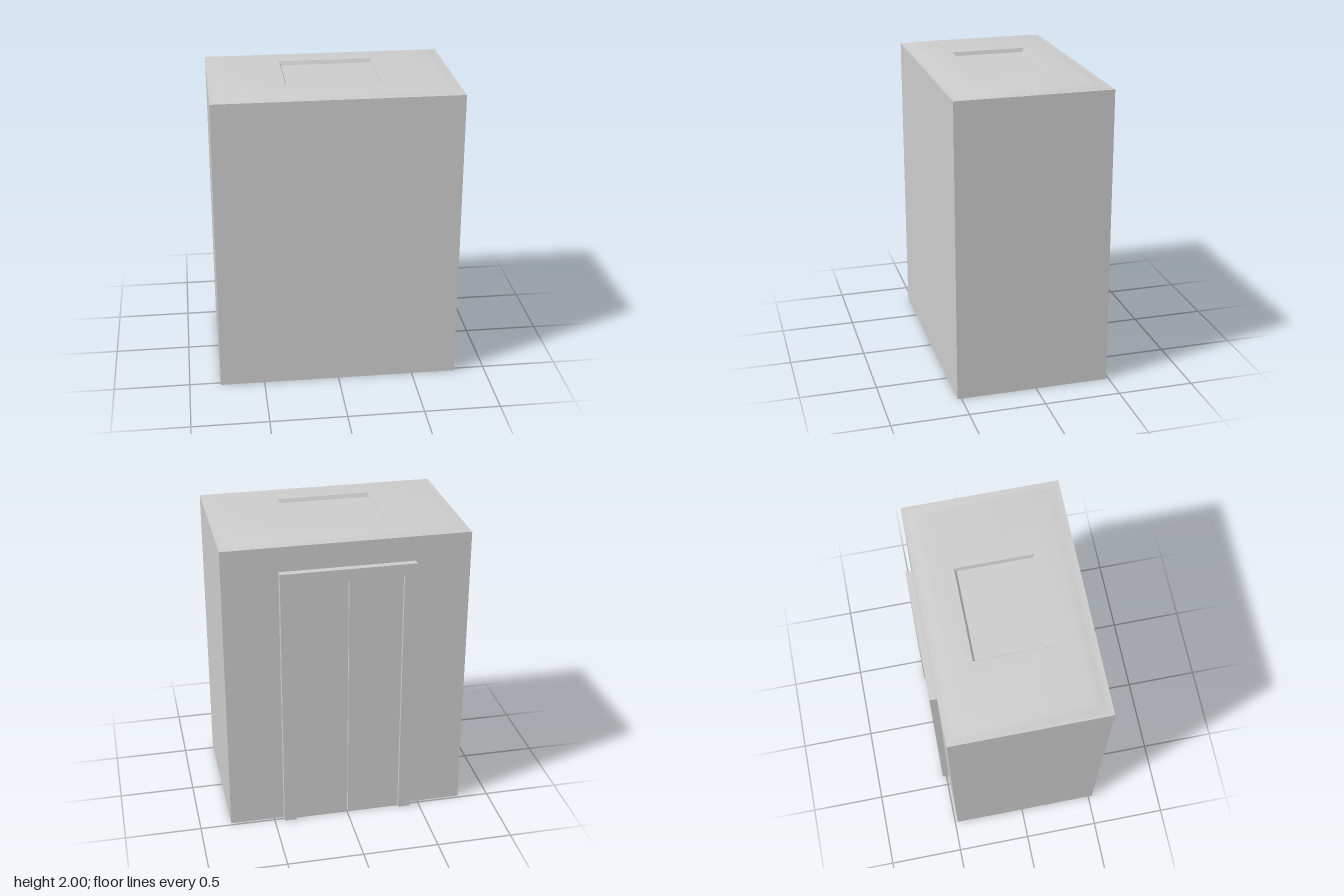
import * as THREE from 'three';

const material = new THREE.MeshStandardMaterial({ color: 0xcccccc });

function addMesh(group, name, geometry) {
  const mesh = new THREE.Mesh(geometry, material);
  mesh.name = name;
  group.add(mesh);
  return mesh;
}

// Rectangular rings [halfWidth, back z, front z, y] joined in order;
// shared corners give soft shading, flat ones give sharp edges.
function rectLoft(rings, { smooth = false, startCap = false, endCap = false } = {}) {
  const positions = [];
  const index = [];
  for (const [w, back, front, y] of rings) {
    positions.push(-w, y, front, w, y, front, w, y, back, -w, y, back);
  }
  for (let r = 0; r < rings.length - 1; r++) {
    for (let i = 0; i < 4; i++) {
      const a = r * 4 + i, b = r * 4 + (i + 1) % 4;
      index.push(a, b, b + 4, a, b + 4, a + 4);
    }
  }
  const last = (rings.length - 1) * 4;
  if (startCap) index.push(0, 2, 1, 0, 3, 2);
  if (endCap) index.push(last, last + 1, last + 2, last, last + 2, last + 3);
  let geometry = new THREE.BufferGeometry();
  geometry.setAttribute('position', new THREE.Float32BufferAttribute(positions, 3));
  geometry.setIndex(index);
  if (!smooth) geometry = geometry.toNonIndexed();
  geometry.computeVertexNormals();
  return geometry;
}

export function createModel() {
  const group = new THREE.Group();
  group.name = 'elevatorCabin';

  const halfWidth = 0.793, back = -0.482, front = 0.527, wallTop = 1.973;
  const frameBack = -0.527;

  // Cabin walls and floor
  addMesh(group, 'cabinWalls', rectLoft([
    [halfWidth, back, front, 0],
    [halfWidth, back, front, wallTop],
  ], { startCap: true }));

  // Softly shaded roof: rim, bevel and raised top around the hatch opening
  addMesh(group, 'roof', rectLoft([
    [halfWidth, back, front, wallTop],
    [0.74, -0.427, 0.473, wallTop],
    [0.69, -0.375, 0.42, 2],
    [0.308, -0.232, 0.272, 2],
  ], { smooth: true }));

  // Sunken ceiling hatch
  addMesh(group, 'roofHatch', rectLoft([
    [0.308, -0.232, 0.272, 2],
    [0.298, -0.218, 0.258, 1.975],
  ], { endCap: true }));

  // Door surround: two jambs and a lintel cut from one outline
  const outer = 0.435, inner = 0.355, frameTop = 1.81, doorTop = 1.735;
  const outline = new THREE.Shape([
    [-outer, 0], [-inner, 0], [-inner, doorTop], [inner, doorTop],
    [inner, 0], [outer, 0], [outer, frameTop], [-outer, frameTop],
  ].map(([x, y]) => new THREE.Vector2(x, y)));
  const frame = addMesh(group, 'doorFrame', new THREE.ExtrudeGeometry(outline, {
    depth: back - frameBack, bevelEnabled: false,
  }));
  frame.position.z = frameBack;

  // Two sliding door leaves with a narrow gap between them
  const gap = 0.012, leafWidth = inner - gap / 2, leafDepth = 0.02;
  for (const side of [1, -1]) {
    const leaf = addMesh(group, side > 0 ? 'leftDoorLeaf' : 'rightDoorLeaf',
      new THREE.BoxGeometry(leafWidth, doorTop, leafDepth));
    leaf.position.set(side * (gap + leafWidth * 2) / 4 + side * gap / 4, doorTop / 2, back - leafDepth / 2);
  }

  return group;
}
